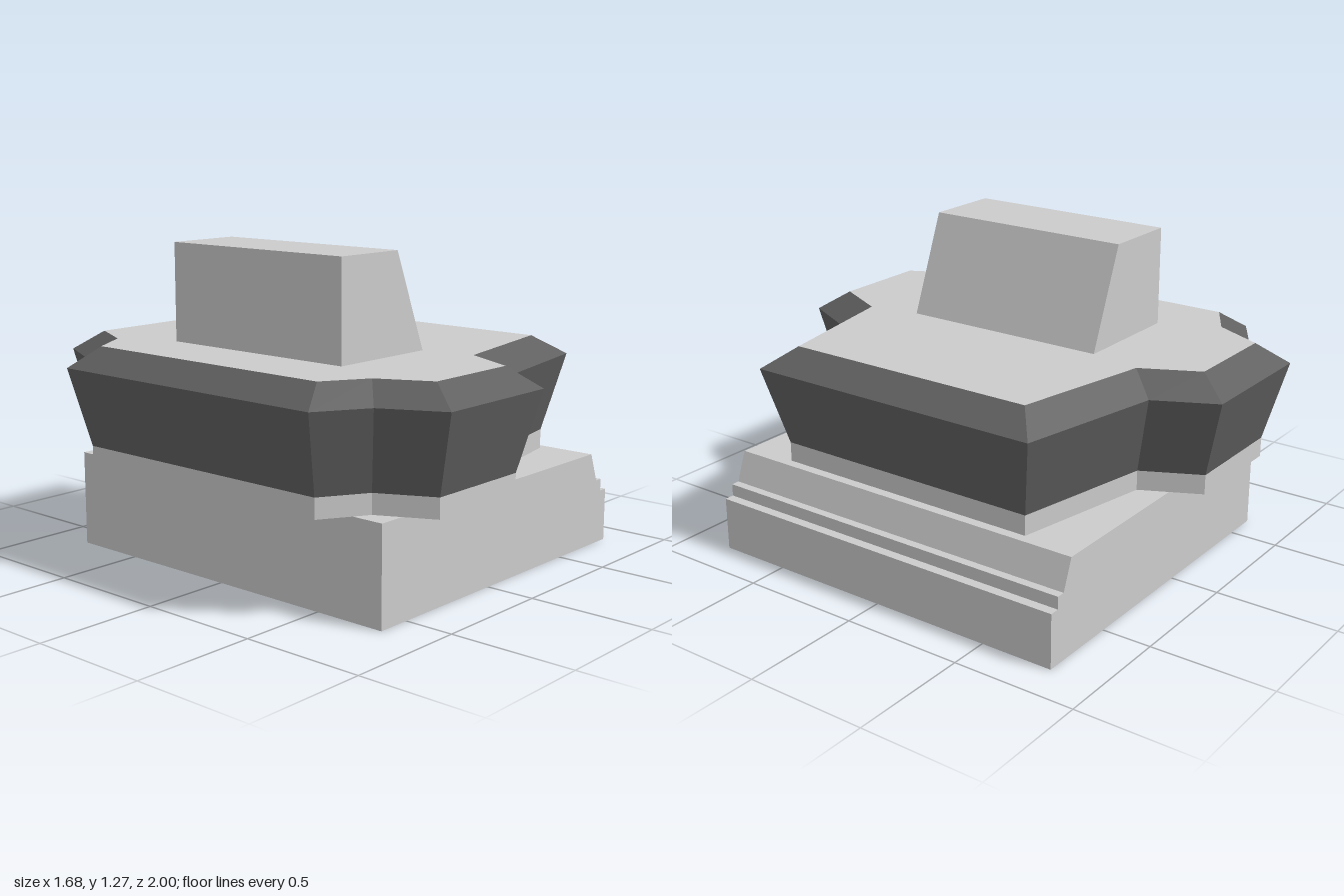
import * as THREE from 'three';

const grey = new THREE.MeshStandardMaterial({ color: 0xcccccc, flatShading: true });
const dark = new THREE.MeshStandardMaterial({ color: 0x606060, flatShading: true });

// Plan outline of the hull at its widest, as [x, z]; the back mirrors the front
const half = [[-0.84, 0.64], [-0.64, 0.76], [-0.52, 1], [0.04, 1], [0.16, 0.76], [0.76, 0.64]];
const outline = [...half, ...half.map(([x, z]) => [x, -z]).reverse()];

// Move every edge of a closed outline inwards by t, with mitred corners
function inset(points, t) {
  const n = points.length;
  const normal = (i) => {
    const [ax, az] = points[i % n], [bx, bz] = points[(i + 1) % n];
    return new THREE.Vector2(az - bz, bx - ax).normalize();
  };
  return points.map(([x, z], i) => {
    const a = normal(i + n - 1), b = normal(i), k = t / (1 + a.dot(b));
    return [x - (a.x + b.x) * k, z - (a.y + b.y) * k];
  });
}

const toShape = (points) => new THREE.Shape(points.map(([x, y]) => new THREE.Vector2(x, y)));
const rect = (x0, x1, z) => [[x0, -z], [x1, -z], [x1, z], [x0, z]];

function mesh(name, geometry, material = grey) {
  const m = new THREE.Mesh(geometry, material);
  m.name = name;
  return m;
}

// Plan shape raised from y0 to y1
function slab(name, shape, y0, y1) {
  const g = new THREE.ExtrudeGeometry(shape, { depth: y1 - y0, bevelEnabled: false, curveSegments: 32 });
  return mesh(name, g.rotateX(-Math.PI / 2).translate(0, y0, 0));
}

// Front profile extruded across the depth
function prism(name, profile, halfDepth) {
  const g = new THREE.ExtrudeGeometry(toShape(profile), { depth: halfDepth * 2, bevelEnabled: false });
  return mesh(name, g.translate(0, 0, -halfDepth));
}

// Wall between two matching outlines at different heights
function wall(name, low, y0, high, y1, material) {
  const pos = [];
  low.forEach(([ax, az], i) => {
    const j = (i + 1) % low.length;
    const a = [ax, y0, az], b = [low[j][0], y0, low[j][1]];
    const c = [high[j][0], y1, high[j][1]], d = [high[i][0], y1, high[i][1]];
    pos.push(...a, ...b, ...c, ...a, ...c, ...d);
  });
  const g = new THREE.BufferGeometry();
  g.setAttribute('position', new THREE.Float32BufferAttribute(pos, 3));
  g.computeVertexNormals();
  return mesh(name, g, material);
}

export function createModel() {
  const model = new THREE.Group();
  model.name = 'model';

  // Base: rim around the underside recess, recess floor with two round sockets, stepped body
  const base = new THREE.Group();
  base.name = 'base';
  const rim = toShape(rect(-0.64, 0.84, 0.8));
  rim.holes.push(toShape(rect(-0.48, 0.68, 0.64)));
  const floor = toShape(rect(-0.64, 0.84, 0.8));
  for (const z of [-0.4, 0.4]) {
    floor.holes.push(new THREE.Path().absarc(0.1, z, 0.13, 0, Math.PI * 2, true));
  }
  base.add(
    slab('baseRim', rim, 0, 0.06),
    slab('socketFloor', floor, 0.06, 0.12),
    prism('baseBody', [
      [-0.64, 0.12], [0.84, 0.12], [0.84, 0.22], [0.8, 0.22],
      [0.8, 0.27], [0.765, 0.27], [0.72, 0.39], [-0.64, 0.39],
    ], 0.8),
  );

  // Hull: collar, flared dark band with a bevelled rim, flat deck
  const hull = new THREE.Group();
  hull.name = 'hull';
  const foot = inset(outline, 0.08), top = inset(outline, 0.12);
  const deck = new THREE.ShapeGeometry(toShape(top)).rotateX(-Math.PI / 2).translate(0, 0.87, 0);
  hull.add(
    slab('collar', toShape(foot), 0.39, 0.47),
    wall('flaredBand', foot, 0.47, outline, 0.79, dark),
    wall('bevelledRim', outline, 0.79, top, 0.87, dark),
    mesh('deck', deck),
  );

  // Tower with one sloping side
  const tower = prism('tower', [[-0.44, 0.87], [0.04, 0.87], [-0.12, 1.27], [-0.44, 1.27]], 0.44);

  model.add(base, hull, tower);
  return model;
}
